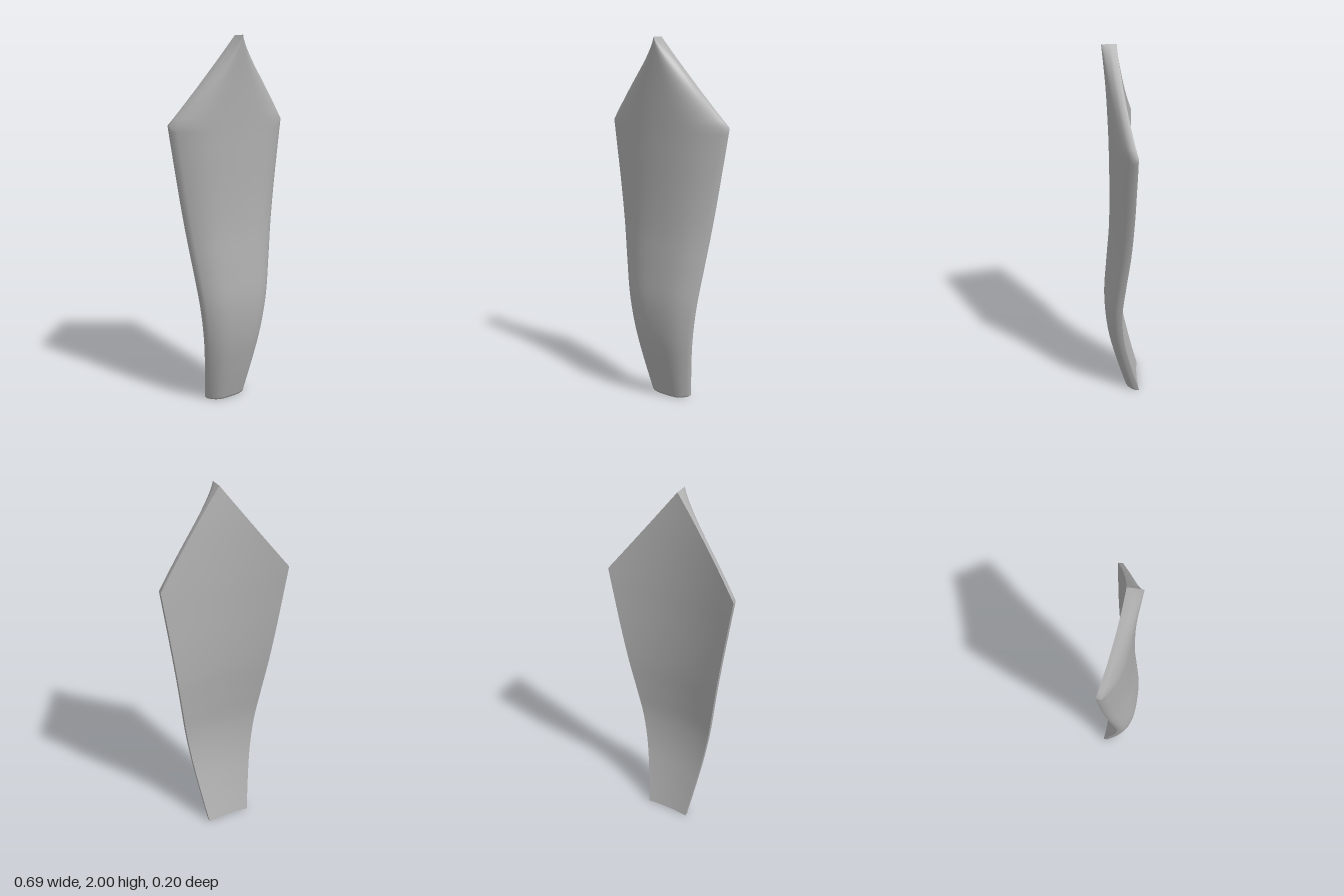
import * as THREE from 'three';

const THICK = 0.073, RIM = 0.025, SHOULDER = 1.565;

// Depth of the back face along the centre line, as (height, z)
const spine = new THREE.SplineCurve([
  [0, -0.091], [0.2, -0.036], [0.4, 0.008], [0.6, 0.024], [0.8, 0.011], [1, -0.005],
  [1.2, -0.011], [1.4, -0.01], [1.565, -0.007], [1.8, 0.004], [2, 0.022],
].map(([y, z]) => new THREE.Vector2(y, z)));

// Half width: straight taper up to the shoulder, then a point
const halfWidth = (y) => y <= SHOULDER
  ? THREE.MathUtils.lerp(0.125, 0.343, y / SHOULDER)
  : 0.343 * (2 - y) / (2 - SHOULDER);

// Thickness across the blade, u from -1 to 1
const thickness = (u) => RIM + (THICK - RIM) * (1 - u ** 4);

// Rows of the blade from the foot to the tip
function makeRows() {
  const rows = [], samples = spine.getPoints(60);
  for (const p of samples) rows.push({ y: p.x, z: p.y });
  rows.splice(1, 0, { y: 0.012, z: -0.0878 });
  return rows;
}

// Indexed grid surface through a function of (row, column)
function grid(nr, nc, point, flip) {
  const pos = [], idx = [];
  for (let r = 0; r < nr; r++) for (let c = 0; c < nc; c++) pos.push(...point(r, c));
  for (let r = 0; r < nr - 1; r++) {
    for (let c = 0; c < nc - 1; c++) {
      const a = r * nc + c, b = a + 1, d = a + nc, e = d + 1;
      if (flip) idx.push(a, d, b, b, d, e);
      else idx.push(a, b, d, b, e, d);
    }
  }
  const g = new THREE.BufferGeometry();
  g.setAttribute('position', new THREE.Float32BufferAttribute(pos, 3));
  g.setIndex(idx);
  g.computeVertexNormals();
  return g;
}

export function createModel() {
  const group = new THREE.Group();
  group.name = 'curvedBlade';
  const grey = new THREE.MeshStandardMaterial({ color: 0xb0b0b0 });
  grey.name = 'grey';

  const rows = makeRows(), N = 28;
  const place = (row, u, t) => {
    const x = u * halfWidth(row.y);
    return [x, row.y, row.z - 0.5 * x * x + t];
  };

  // Domed front, wrapping over the side rims and under the foot
  const front = grid(rows.length + 1, N + 3, (r, c) => {
    const row = rows[Math.max(r - 1, 0)];
    const u = THREE.MathUtils.clamp((c - 1) / N * 2 - 1, -1, 1);
    const onBack = r === 0 || c === 0 || c === N + 2;
    return place(row, u, onBack ? 0 : thickness(u));
  }, false);

  // Gently hollow back
  const back = grid(rows.length, N + 1, (r, c) => place(rows[r], c / N * 2 - 1, 0), true);

  for (const [name, geometry] of [['bladeFront', front], ['bladeBack', back]]) {
    const mesh = new THREE.Mesh(geometry, grey);
    mesh.name = name;
    group.add(mesh);
  }
  return group;
}
